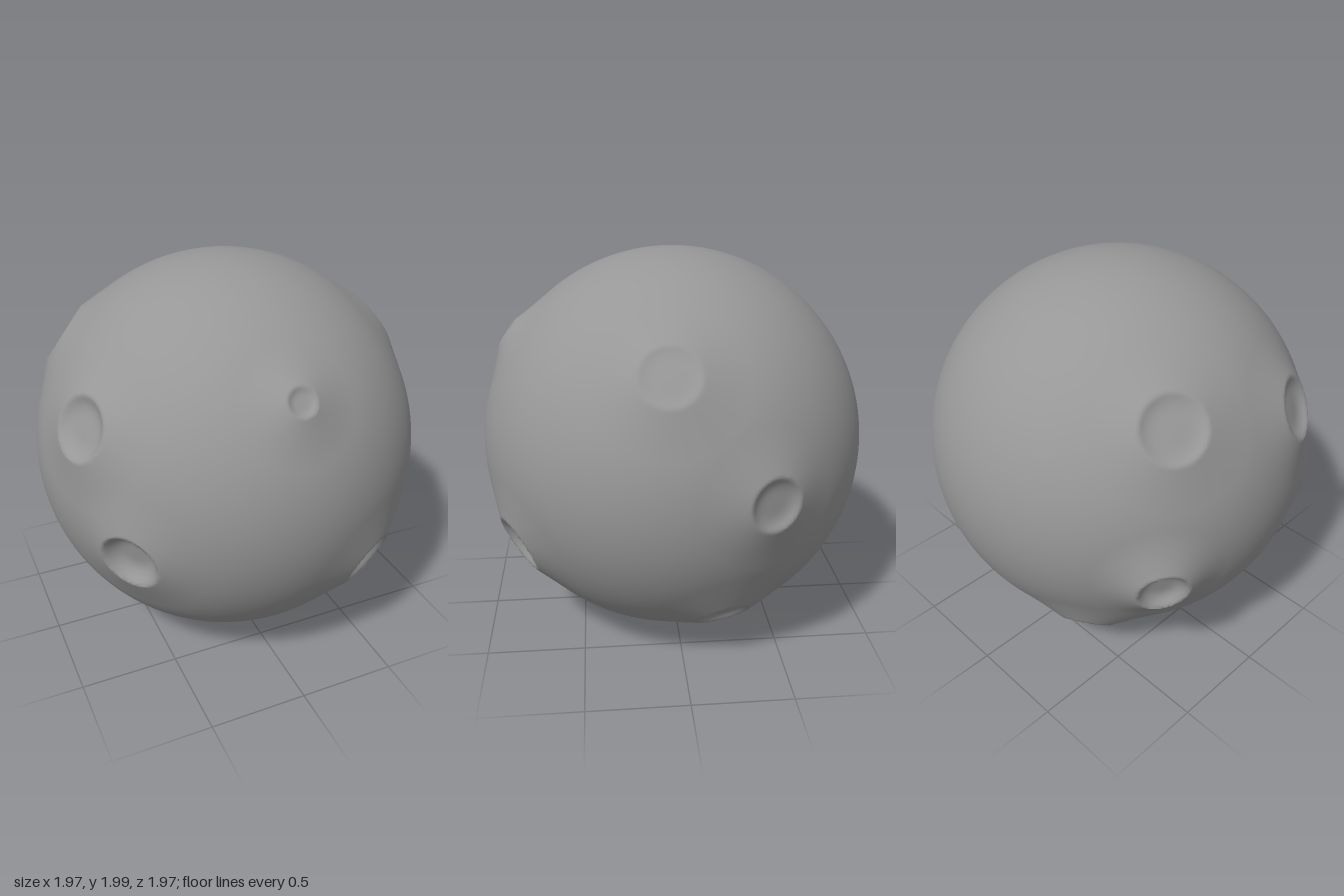
import * as THREE from 'three';
import { mergeVertices } from 'three/addons/utils/BufferGeometryUtils.js';

const RADII = new THREE.Vector3(0.987, 0.993, 0.987);
const SKIRT = 0.23;

// Craters: direction from the centre, rim radius, rim height, floor depth
const craters = [
  [[0, 0.57, 0.835], 0.068, 0.036, -0.018],
  [[-0.75, -0.19, 0.63], 0.145, 0.025, 0.05],
  [[-0.86, 0.39, 0.35], 0.15, 0.03, 0.015],
  [[0.43, -0.39, 0.80], 0.147, 0.028, 0.03],
  [[0.81, 0.56, 0.08], 0.14, 0.027, -0.012],
  [[0.92, 0.0, -0.38], 0.127, 0.03, 0.005],
  [[0.68, -0.715, -0.2], 0.13, 0.025, 0.01],
  [[-0.37, -0.71, -0.60], 0.12, 0.04, 0.0],
  [[-0.73, 0.56, -0.39], 0.157, 0.025, 0.005],
  [[-0.82, -0.21, -0.53], 0.118, 0.058, 0.0],
].map(([d, r, rim, depth]) => ({ dir: new THREE.Vector3(...d).normalize(), r, rim, depth }));

// Height offset at an angular distance: shallow bowl, crisp rim, sloping skirt
function craterHeight(distance, { r, rim, depth }) {
  if (distance >= r + SKIRT) return 0;
  if (distance >= r) return rim * (1 - (distance - r) / SKIRT) ** 2;
  return -depth + (rim + depth) * (distance / r) ** 4;
}

export function createModel() {
  const group = new THREE.Group();
  group.name = 'crateredMoon';

  // Evenly divided ball with shared vertices for smooth shading
  let geo = new THREE.IcosahedronGeometry(1, 80);
  geo.deleteAttribute('uv');
  geo.deleteAttribute('normal');
  geo = mergeVertices(geo, 1e-5);

  // Push the surface in and out around each crater
  const pos = geo.attributes.position;
  const v = new THREE.Vector3();
  const offset = new THREE.Vector3();
  for (let i = 0; i < pos.count; i++) {
    v.fromBufferAttribute(pos, i).normalize();
    let h = 0;
    for (const c of craters) h += craterHeight(v.angleTo(c.dir), c);
    offset.copy(v).multiplyScalar(h);
    v.multiply(RADII).add(offset);
    pos.setXYZ(i, v.x, v.y, v.z);
  }
  geo.computeVertexNormals();

  const moon = new THREE.Mesh(geo, new THREE.MeshStandardMaterial({ color: 0x979797 }));
  moon.name = 'moonSurface';
  moon.position.y = 1.002;
  group.add(moon);
  return group;
}
